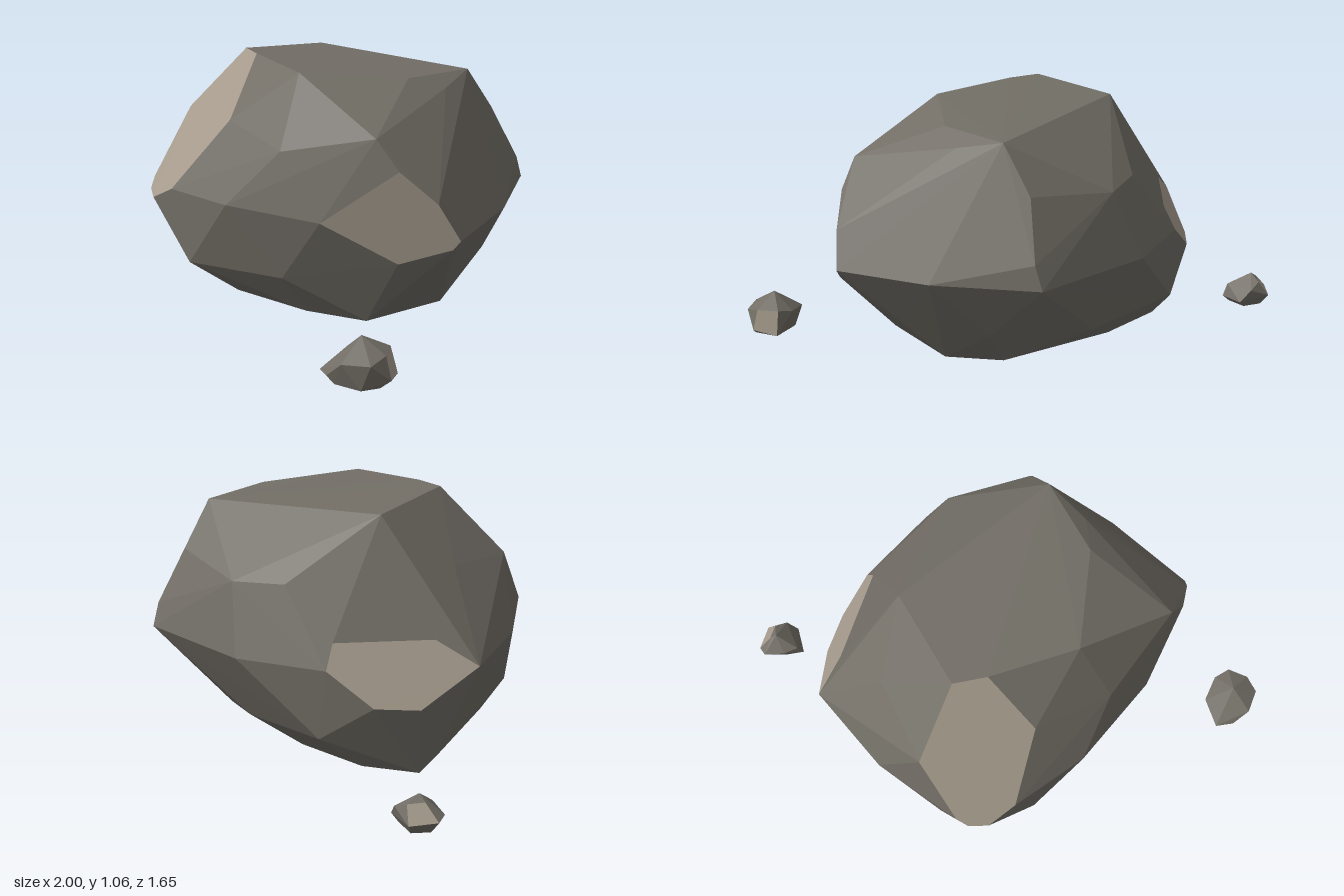
import * as THREE from 'three';
import { ConvexGeometry } from 'three/addons/geometries/ConvexGeometry.js';

const stone = new THREE.MeshStandardMaterial({ color: 0x726e66 });
const paleStone = new THREE.MeshStandardMaterial({ color: 0xa69b8d });
stone.name = 'stone';
paleStone.name = 'paleStone';

const toVectors = (list) => list.map((p) => new THREE.Vector3(...p));

// Plane through a facet's corners, facing away from the rock's centre
function facetPlane(corners, centre) {
  const mid = new THREE.Vector3();
  const normal = new THREE.Vector3();
  corners.forEach((p, i) => {
    mid.addScaledVector(p, 1 / corners.length);
    normal.add(new THREE.Vector3().crossVectors(p, corners[(i + 1) % corners.length]));
  });
  normal.normalize();
  if (normal.dot(mid.clone().sub(centre)) < 0) normal.negate();
  return new THREE.Plane().setFromNormalAndCoplanarPoint(normal, mid);
}

function facetMesh(name, positions, material) {
  const geometry = new THREE.BufferGeometry();
  geometry.setAttribute('position', new THREE.Float32BufferAttribute(positions, 3));
  geometry.computeVertexNormals();
  const mesh = new THREE.Mesh(geometry, material);
  mesh.name = name;
  return mesh;
}

// Chiselled rock: convex hull of its corners, with some flat facets in pale stone
function makeRock(name, cornerList, paleFacets) {
  const corners = toVectors(cornerList);
  const facets = paleFacets.map(toVectors);
  const centre = new THREE.Vector3();
  corners.forEach((p) => centre.addScaledVector(p, 1 / corners.length));

  const planes = facets.map((facet) => facetPlane(facet, centre));
  facets.forEach((facet, i) => {
    facet.forEach((p) => planes[i].projectPoint(p.clone(), p));
    // keep every other corner just behind the pale facet
    for (const p of corners) {
      const over = planes[i].distanceToPoint(p) + 0.006;
      if (over > 0) p.addScaledVector(planes[i].normal, -over);
    }
  });

  const hull = new ConvexGeometry([...corners, ...facets.flat()]).getAttribute('position');
  const plain = [];
  const pale = [];
  for (let i = 0; i < hull.count; i += 3) {
    const tri = [0, 1, 2].map((k) => new THREE.Vector3().fromBufferAttribute(hull, i + k));
    const onFacet = planes.some((pl) => tri.every((p) => Math.abs(pl.distanceToPoint(p)) < 0.001));
    tri.forEach((p) => (onFacet ? pale : plain).push(p.x, p.y, p.z));
  }
  const rock = new THREE.Group();
  rock.name = name;
  rock.add(facetMesh(name + 'Body', plain, stone));
  if (pale.length) rock.add(facetMesh(name + 'PaleFacets', pale, paleStone));
  return rock;
}

// Boulder corners, level by level
const crown = [
  [0.13, 1.03, 0.36], [0.42, 1.0, 0], [0.44, 1.0, -0.36], [-0.39, 1.04, -0.24],
  [0.5, 0.95, -0.15], [0.44, 0.91, -0.39],
];
const shoulder = [
  [0.61, 0.83, 0.38], [0.45, 0.81, -0.52], [0.08, 0.77, -0.64], [-0.14, 0.78, -0.57],
  [-0.62, 0.8, -0.02], [0.2, 0.73, 0.53],
];
const waist = [
  [-0.01, 0.48, 0.66], [0.76, 0.45, -0.25], [0.53, 0.57, -0.62], [0.53, 0.47, -0.66],
  [-0.01, 0.48, -0.74], [-0.26, 0.45, -0.66], [-0.8, 0.47, 0.2],
];
const foot = [
  [-0.65, 0.11, 0.45], [-0.27, 0.16, 0.67], [0.2, 0.175, 0.53], [0.54, 0.2, 0.34],
  [0.67, 0.16, 0], [0.54, 0.19, -0.38], [0.08, 0.12, -0.55], [-0.36, 0.17, -0.64],
  [-0.73, 0.06, -0.33],
];
const base = [
  [0.54, 0, -0.1], [0.39, 0, -0.31], [-0.14, 0, -0.46], [-0.46, 0, -0.47], [-0.69, 0, -0.38],
  [-0.61, 0, 0.3], [-0.18, 0, 0.47], [0.22, 0, 0.41], [0.48, 0, 0.3],
];

// Pale facets of the boulder
const frontFacet = [
  [-0.4, 1.06, 0.22], [-0.26, 1.055, 0.27], [-0.17, 0.8, 0.5], [-0.38, 0.48, 0.68],
  [-0.52, 0.41, 0.68], [-0.6, 0.43, 0.64], [-0.63, 0.47, 0.59], [-0.66, 0.77, 0.36],
];
const sideFacet = [
  [0.43, 0.47, 0.52], [0.71, 0.71, 0.35], [0.83, 0.58, 0.25], [0.89, 0.43, 0.18],
  [0.86, 0.39, 0.19], [0.68, 0.31, 0.32],
];
const backFacet = [
  [-0.87, 0.48, -0.23], [-0.73, 0.33, -0.45], [-0.58, 0.34, -0.566], [-0.39, 0.48, -0.63],
  [-0.38, 0.58, -0.57], [-0.7, 0.58, -0.3],
];

// Small stones lying beside the boulder
const frontPebble = [
  [0.74, 0.08, 0.66], [0.725, 0.02, 0.79], [0.84, 0.1, 0.595], [0.97, 0.1, 0.76],
  [0.88, 0.1, 0.825], [0.8, 0.03, 0.825], [0.86, 0.175, 0.7], [0.76, 0, 0.76], [0.8, 0, 0.64],
  [0.91, 0, 0.62], [0.97, 0, 0.71], [0.94, 0, 0.78], [0.83, 0, 0.81],
];
const frontPebbleFacet = [[0.915, 0.12, 0.6], [0.97, 0.12, 0.68], [1.0, 0.03, 0.68], [0.94, 0.01, 0.585]];
const backPebble = [
  [-0.9, 0.145, -0.73], [-0.82, 0.09, -0.785], [-0.785, 0.03, -0.75], [-0.84, 0.08, -0.64],
  [-0.82, 0.02, -0.63], [-0.91, 0.08, -0.65], [-0.995, 0.07, -0.7], [-0.96, 0, -0.74],
  [-0.9, 0, -0.67], [-0.83, 0, -0.66], [-0.82, 0, -0.75], [-0.9, 0, -0.79],
];
const backPebbleFacet = [[-1.0, 0.06, -0.75], [-0.91, 0.05, -0.825], [-0.88, 0.12, -0.79], [-0.93, 0.12, -0.74]];

export function createModel() {
  const model = new THREE.Group();
  model.name = 'boulderWithPebbles';
  model.add(
    makeRock('boulder', [...crown, ...shoulder, ...waist, ...foot, ...base], [frontFacet, sideFacet, backFacet]),
    makeRock('frontPebble', frontPebble, [frontPebbleFacet]),
    makeRock('backPebble', backPebble, [backPebbleFacet]),
  );
  return model;
}
